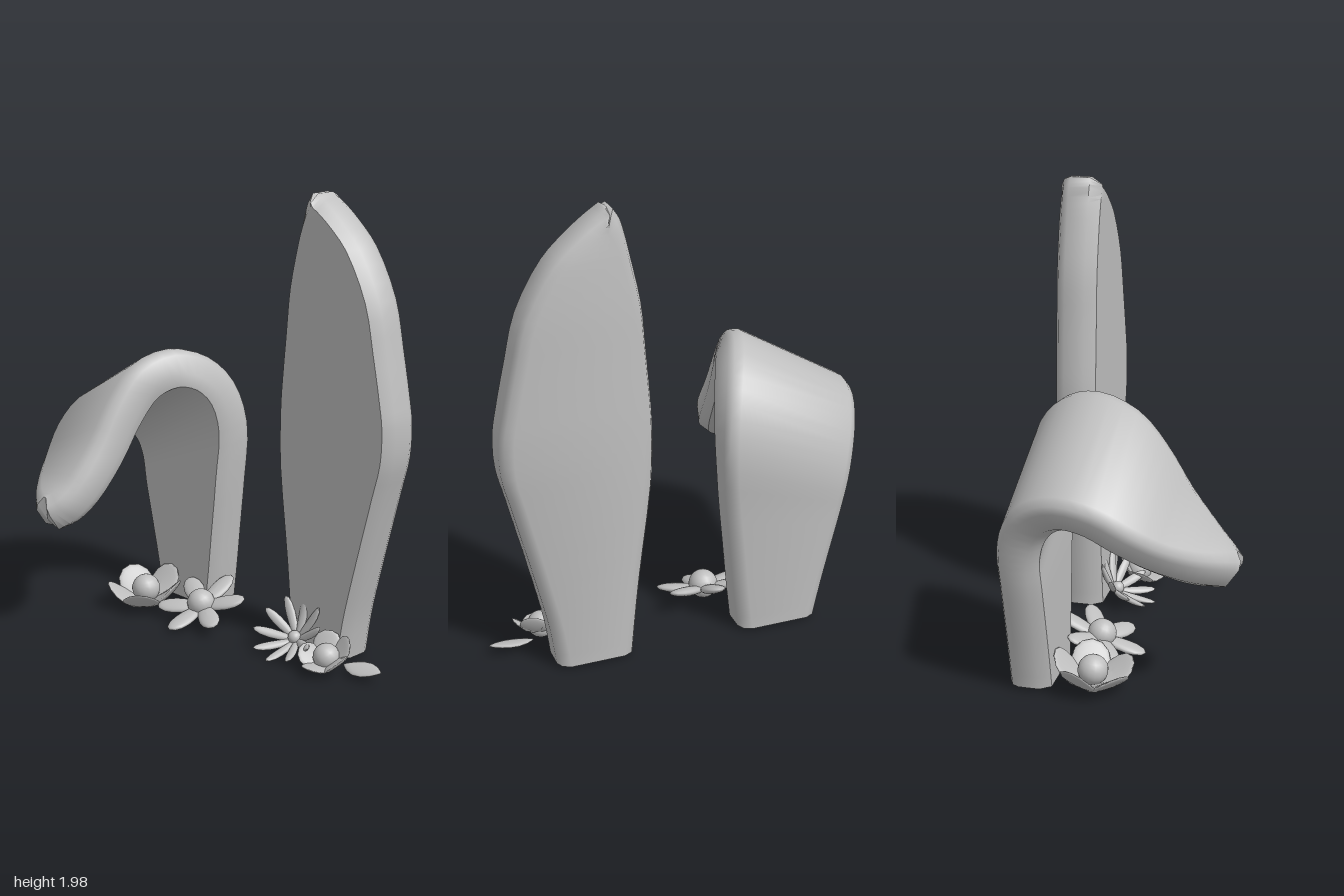
import * as THREE from 'three';
import { toCreasedNormals } from 'three/addons/utils/BufferGeometryUtils.js';

const grey = new THREE.MeshStandardMaterial({ color: 0xbfbfbf });
grey.name = 'plain grey';

// Half cross-section of an ear: [inset from the side edge, offset towards the front]
const HALF = [[0.035, 0.09], [0, 0.045], [0, -0.045], [0.015, -0.075], [0.05, -0.092]];

// Lofts a closed ear through stations given as [left edge, right edge]
function earGeometry(stations) {
  const n = (stations.length - 1) * 3 + 1, m = HALF.length * 2;
  const smooth = (side) => {
    const curve = new THREE.CatmullRomCurve3(stations.map((s) => new THREE.Vector3(...s[side])));
    return curve.getPoints(n - 1);
  };
  const L = smooth(0), R = smooth(1);
  const mid = L.map((l, i) => l.clone().add(R[i]).multiplyScalar(0.5));
  const pos = [], index = [];
  for (let i = 0; i < n; i++) {
    const across = R[i].clone().sub(L[i]);
    const width = across.length();
    across.normalize();
    const along = mid[Math.min(i + 1, n - 1)].clone().sub(mid[Math.max(i - 1, 0)]).normalize();
    const front = across.clone().cross(along).normalize();
    // rounds the rim over the tip
    const pull = Math.max(0, 1 - (n - 1 - i) / 9);
    const put = (edge, sign, [inset, f]) => {
      const p = edge.clone()
        .addScaledVector(across, sign * Math.min(inset, width * 0.42))
        .addScaledVector(front, f)
        .addScaledVector(along, -inset * pull);
      pos.push(p.x, p.y, p.z);
    };
    HALF.forEach((h) => put(L[i], 1, h));
    [...HALF].reverse().forEach((h) => put(R[i], -1, h));
  }
  for (let i = 0; i < n - 1; i++) {
    for (let j = 0; j < m; j++) {
      const a = i * m + j, b = i * m + (j + 1) % m;
      index.push(a, a + m, b, b, a + m, b + m);
    }
  }
  // foot and tip caps around centre points
  const top = (n - 1) * m;
  pos.push(...mid[0].toArray(), ...mid[n - 1].toArray());
  for (let j = 0; j < m; j++) {
    const k = (j + 1) % m;
    index.push(n * m, j, k, n * m + 1, top + k, top + j);
  }
  const g = new THREE.BufferGeometry();
  g.setAttribute('position', new THREE.Float32BufferAttribute(pos, 3));
  g.setIndex(index);
  return toCreasedNormals(g, 0.8);
}

// Petal running along +x from the origin, curling upwards; pointed makes a leaf
function petalGeometry(len, wid, thick, curl, pointed) {
  const g = new THREE.SphereGeometry(1, 14, 10);
  const p = g.attributes.position;
  for (let i = 0; i < p.count; i++) {
    const x = p.getX(i), t = (x + 1) / 2;
    const w = pointed ? Math.sqrt(Math.max(0, 1 - x * x)) : 0.75 + 0.4 * t;
    p.setXYZ(i, t * len, p.getY(i) * thick / 2 + curl * t * t, p.getZ(i) * w * wid / 2);
  }
  g.computeVertexNormals();
  return g;
}

function mesh(geometry, name) {
  const m = new THREE.Mesh(geometry, grey);
  m.name = name;
  return m;
}

// Flower: ring of petals raised by cup, leaning forward by tilt
function flower(name, o) {
  const g = new THREE.Group();
  g.name = name;
  g.position.set(...o.at);
  g.rotation.x = o.tilt;
  const geo = petalGeometry(o.len, o.wid, o.thick, o.curl, false);
  for (let i = 0; i < o.count; i++) {
    const petal = mesh(geo, 'petal');
    petal.rotation.order = 'YXZ';
    petal.rotation.y = o.start + (i / o.count) * Math.PI * 2;
    petal.rotation.z = o.cup;
    g.add(petal);
  }
  const heart = mesh(new THREE.SphereGeometry(o.heart, 16, 12), 'flowerCentre');
  heart.position.y = o.heartY;
  g.add(heart);
  return g;
}

export function createModel() {
  const model = new THREE.Group();
  model.name = 'bunnyEarsWithFlowers';

  // upright ear: height, left edge, right edge
  const upright = [
    [0.03, 0.25, 0.585], [0.2, 0.235, 0.61], [0.4, 0.215, 0.655], [0.8, 0.167, 0.755],
    [0.95, 0.161, 0.792], [1.1, 0.163, 0.796], [1.2, 0.17, 0.78], [1.4, 0.188, 0.738],
    [1.6, 0.207, 0.69], [1.8, 0.25, 0.58], [1.9, 0.274, 0.48], [1.96, 0.293, 0.405],
    [2.0, 0.318, 0.345],
  ].map(([y, l, r]) => [[l, y, -0.39], [r, y, -0.39]]);
  model.add(mesh(earGeometry(upright), 'uprightEar'));

  // ear folded forward over a slanting ridge
  const folded = [
    [[-0.585, 0.03, -0.39], [-0.23, 0.03, -0.39]],
    [[-0.62, 0.2, -0.39], [-0.21, 0.2, -0.39]],
    [[-0.655, 0.35, -0.39], [-0.19, 0.4, -0.39]],
    [[-0.695, 0.52, -0.39], [-0.165, 0.65, -0.39]],
    [[-0.72, 0.65, -0.39], [-0.15, 0.9, -0.39]],
    [[-0.745, 0.76, -0.36], [-0.17, 1.07, -0.34]],
    [[-0.78, 0.85, -0.29], [-0.21, 1.17, -0.25]],
    [[-0.81, 0.89, -0.19], [-0.26, 1.205, -0.13]],
    [[-0.815, 0.87, -0.07], [-0.30, 1.16, 0.0]],
    [[-0.795, 0.80, 0.05], [-0.32, 1.04, 0.1]],
    [[-0.735, 0.72, 0.17], [-0.33, 0.87, 0.2]],
    [[-0.65, 0.65, 0.3], [-0.345, 0.71, 0.32]],
    [[-0.57, 0.61, 0.4], [-0.375, 0.625, 0.4]],
    [[-0.51, 0.585, 0.45], [-0.42, 0.58, 0.45]],
  ];
  model.add(mesh(earGeometry(folded), 'foldedEar'));

  // flowers at the feet of the ears
  model.add(flower('cupFlower', {
    at: [-0.49, 0.02, -0.15], tilt: 0.15, count: 5, start: Math.PI / 2, len: 0.205, wid: 0.175,
    thick: 0.03, curl: 0.07, cup: 0.32, heart: 0.065, heartY: 0.08,
  }));
  model.add(flower('sixPetalFlower', {
    at: [-0.17, 0.09, -0.19], tilt: 0.38, count: 6, start: Math.PI / 6, len: 0.21, wid: 0.095,
    thick: 0.04, curl: 0.01, cup: 0.06, heart: 0.063, heartY: 0.02,
  }));
  model.add(flower('daisy', {
    at: [0.35, 0.068, -0.26], tilt: 0.75, count: 10, start: -Math.PI / 2, len: 0.195, wid: 0.045,
    thick: 0.026, curl: 0.03, cup: 0.38, heart: 0.03, heartY: 0.02,
  }));
  model.add(flower('smallCupFlower', {
    at: [0.58, 0.05, -0.215], tilt: 0.5, count: 5, start: -Math.PI / 2, len: 0.135, wid: 0.13,
    thick: 0.025, curl: 0.04, cup: 0.28, heart: 0.058, heartY: 0.035,
  }));

  // pointed leaf beside the small flower
  const leaf = mesh(petalGeometry(0.2, 0.1, 0.025, 0.015, true), 'leaf');
  leaf.position.set(0.63, 0.045, -0.25);
  leaf.rotation.set(0.3, 0.1, 0);
  model.add(leaf);
  return model;
}
